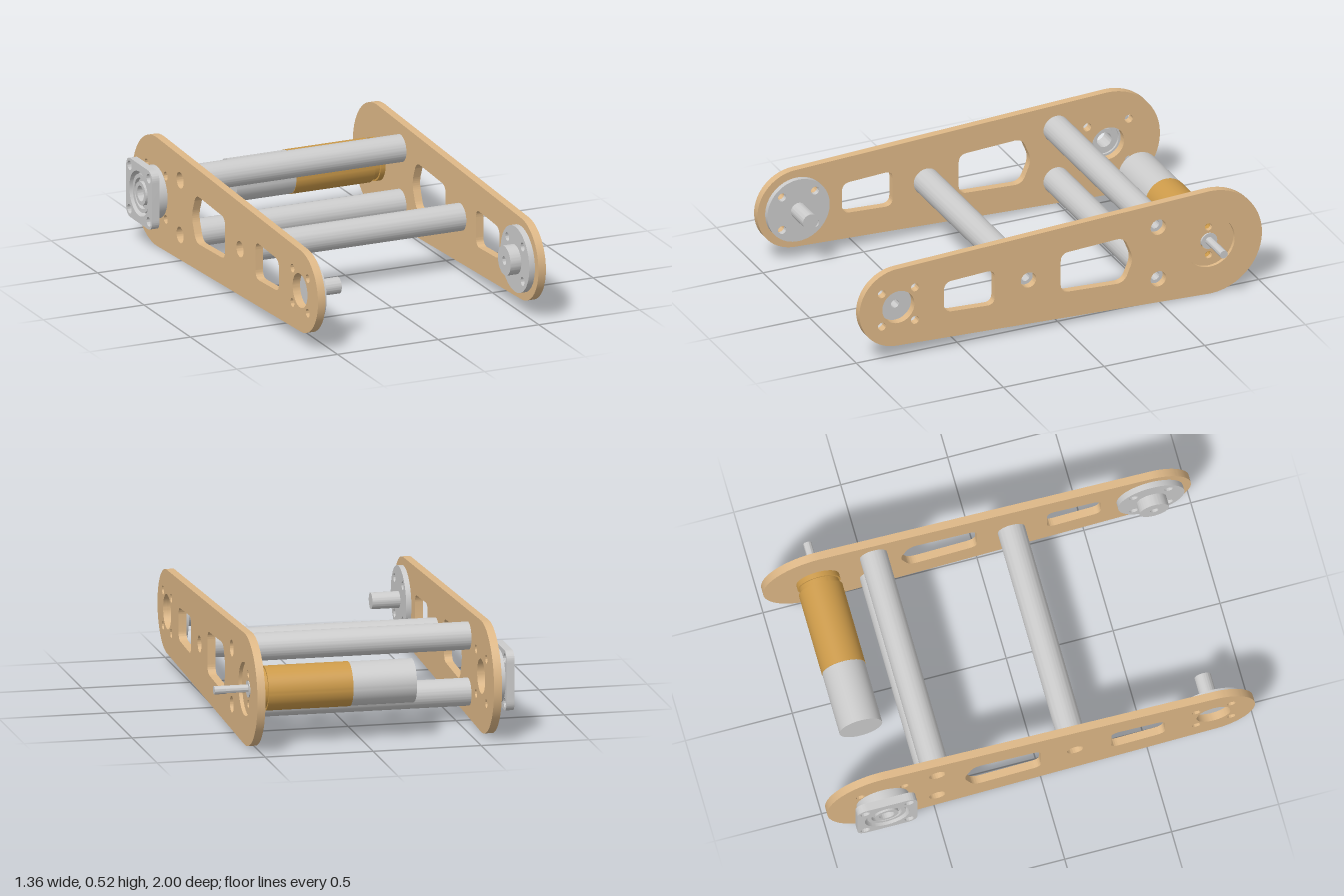
import * as THREE from 'three';
import { toCreasedNormals } from 'three/addons/utils/BufferGeometryUtils.js';

const mat = (color) => new THREE.MeshStandardMaterial({ color });
const WOOD = mat(0xdeb887), GREY = mat(0xcccccc), BRASS = mat(0xcd9b4a);
const CY = 0.26, FRONT = 0.807, REAR = -0.742;
const RODS = [[0.16, 0.26], [-0.485, 0.39], [-0.485, 0.13]];

// Shapes are drawn in (-z, y) and extruded along +x
const hole = (u, v, r) => new THREE.Path().absarc(u, v, r, 0, Math.PI * 2, true);
const square4 = (u, v, d, r) =>
  [[1, 1], [-1, 1], [-1, -1], [1, -1]].map(([a, b]) => hole(u + a * d, v + b * d, r));

function slab(name, shape, holes, x0, x1, material) {
  shape.holes.push(...holes);
  const flat = new THREE.ExtrudeGeometry(shape, { depth: x1 - x0, bevelEnabled: false, curveSegments: 32 });
  const geo = toCreasedNormals(flat, 0.5);
  geo.rotateY(Math.PI / 2).translate(x0, 0, 0);
  const mesh = new THREE.Mesh(geo, material);
  mesh.name = name;
  return mesh;
}

// Round disc along x, centred at depth z and height y
function disc(name, z, y, r, x0, x1, material = GREY, holes = []) {
  return slab(name, new THREE.Shape().absarc(-z, y, r, 0, Math.PI * 2), holes, x0, x1, material);
}

// Closed polygon path with softened corners
function softPath(pts, k = 0.35, Type = THREE.Path) {
  const p = new Type(), n = pts.length;
  const mix = (a, b, r) => {
    const d = Math.hypot(b[0] - a[0], b[1] - a[1]), t = Math.min(r / d, 0.5);
    return [a[0] + (b[0] - a[0]) * t, a[1] + (b[1] - a[1]) * t];
  };
  pts.forEach((c, i) => {
    const a = mix(c, pts[(i + n - 1) % n], k), b = mix(c, pts[(i + 1) % n], k);
    if (i === 0) p.moveTo(...a); else p.lineTo(...a);
    p.quadraticCurveTo(...c, ...b);
  });
  p.closePath();
  return p;
}

// Tapered outline: two arcs joined by their tangents
function plateOutline() {
  const r1 = 0.193, r2 = 0.258;
  const a = Math.PI / 2 + Math.asin((r2 - r1) / (FRONT - REAR));
  const s = new THREE.Shape();
  s.absarc(-REAR, CY, r2, -a, a, false);
  s.absarc(-FRONT, CY, r1, a, Math.PI * 2 - a, false);
  s.closePath();
  return s;
}

// Openings common to both plates
function plateHoles() {
  const smallWindow = softPath([[-0.58, 0.335], [-0.328, 0.348], [-0.328, 0.172], [-0.58, 0.185]], 0.04);
  const largeWindow = softPath([[0, 0.358], [0.315, 0.374], [0.362, 0.26], [0.315, 0.146], [0, 0.162]], 0.04);
  return [
    smallWindow, largeWindow,
    hole(-FRONT, CY, 0.08), ...square4(-FRONT, CY, 0.082, 0.02),
    ...RODS.map(([z, y]) => hole(-z, y, 0.038)),
  ];
}

export function createModel() {
  const model = new THREE.Group();
  const group = (name, ...parts) => {
    const g = new THREE.Group();
    g.name = name;
    g.add(...parts);
    model.add(g);
  };
  const R = -REAR;
  const screws = () => [hole(R, CY + 0.07, 0.018), hole(R, CY - 0.07, 0.018)];

  // Left plate, with a shallow round pocket around the motor shaft
  group('leftPlate',
    slab('leftPlateInner', plateOutline(), [...plateHoles(), hole(R, CY, 0.04), ...screws()], 0.498, 0.518, WOOD),
    slab('leftPlateOuter', plateOutline(), [...plateHoles(), hole(R, CY, 0.123)], 0.518, 0.535, WOOD));

  // Right plate, drilled for the bearing
  group('rightPlate', slab('rightPlatePanel', plateOutline(),
    [...plateHoles(), hole(R, CY, 0.08), ...square4(R, CY, 0.103, 0.02)], -0.597, -0.56, WOOD));

  // Hollow cross rods
  group('crossRods', ...RODS.map(([z, y]) =>
    disc('crossRod', z, y, 0.0635, -0.56, 0.498, GREY, [hole(-z, y, 0.022)])));

  // Front hubs on the inner faces
  const flangeHoles = () => square4(-FRONT, CY, 0.082, 0.02);
  group('leftHub',
    disc('leftHubFlange', FRONT, CY, 0.155, 0.47, 0.498, GREY, [...flangeHoles(), hole(-FRONT, CY, 0.02)]),
    disc('leftHubBoss', FRONT, CY, 0.069, 0.417, 0.47, GREY, [hole(-FRONT, CY, 0.02)]));
  group('rightHub',
    disc('rightHubFlange', FRONT, CY, 0.155, -0.56, -0.536, GREY, flangeHoles()),
    disc('rightHubShaft', FRONT, CY, 0.038, -0.536, -0.407));

  // Motor with gearbox and output shaft, flat on the underside
  const Z = -0.745;
  const dShaft = new THREE.Shape().absarc(-Z, 0.262, 0.019, -Math.PI * 0.25, Math.PI * 1.25);
  dShaft.closePath();
  group('motor',
    disc('motorCan', Z, CY, 0.1, -0.24, 0.055),
    disc('gearbox', Z, CY, 0.102, 0.055, 0.447, BRASS),
    disc('gearboxNeck', Z, CY, 0.092, 0.447, 0.474, BRASS),
    disc('gearboxFace', Z, CY, 0.1, 0.474, 0.498, BRASS, screws()),
    disc('outputBoss', Z, CY, 0.039, 0.498, 0.522),
    slab('outputShaft', dShaft, [], 0.522, 0.626, GREY),
    disc('outputShaftTip', Z, 0.262, 0.019, 0.626, 0.678));

  // Square flange bearing outside the right plate
  const h = 0.14;
  const flange = softPath([[R - h, CY - h], [R + h, CY - h], [R + h, CY + h], [R - h, CY + h]], 0.05, THREE.Shape);
  group('flangeBearing',
    slab('bearingFlange', flange, [hole(R, CY, 0.105), ...square4(R, CY, 0.103, 0.022)], -0.682, -0.645, GREY),
    disc('bearingBase', REAR, CY, 0.122, -0.645, -0.597, GREY, [hole(R, CY, 0.085)]),
    disc('bearingOuterRing', REAR, CY, 0.09, -0.672, -0.6, GREY, [hole(R, CY, 0.072)]),
    disc('bearingSeal', REAR, CY, 0.073, -0.655, -0.61, GREY, [hole(R, CY, 0.054)]),
    disc('bearingInnerRing', REAR, CY, 0.055, -0.675, -0.6, GREY, [hole(R, CY, 0.036)]));

  return model;
}
